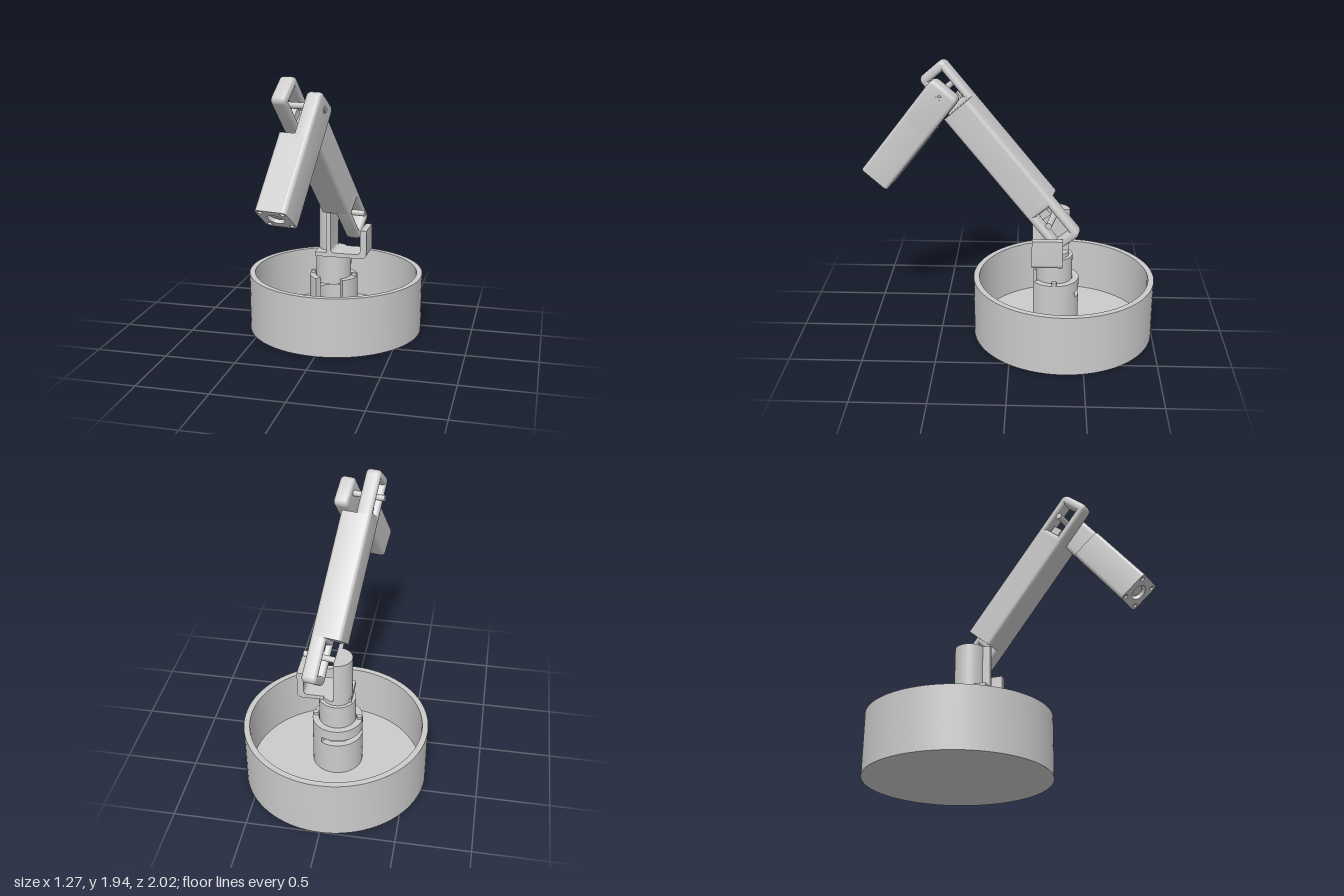
import * as THREE from 'three';
import { toCreasedNormals } from 'three/addons/utils/BufferGeometryUtils.js';

const material = new THREE.MeshStandardMaterial({ color: 0xcccccc });
const ROUND = 0.025;

function add(parent, name, geometry, x = 0, y = 0, z = 0) {
  const mesh = new THREE.Mesh(geometry, material);
  mesh.name = name;
  mesh.position.set(x, y, z);
  parent.add(mesh);
  return mesh;
}

function roundedRect(w, h, r, cx = 0, cy = 0) {
  const s = new THREE.Shape();
  const x = w / 2 - r, y = h / 2 - r;
  s.absarc(cx + x, cy + y, r, 0, Math.PI / 2);
  s.absarc(cx - x, cy + y, r, Math.PI / 2, Math.PI);
  s.absarc(cx - x, cy - y, r, Math.PI, Math.PI * 1.5);
  s.absarc(cx + x, cy - y, r, Math.PI * 1.5, Math.PI * 2);
  s.closePath();
  return s;
}

function circle(x, y, r) {
  return new THREE.Path().absarc(x, y, r, 0, Math.PI * 2, true);
}

// Extrudes a plan shape upward from y = 0 (shape y becomes -z)
function upright(shape, height) {
  const g = new THREE.ExtrudeGeometry(shape, { depth: height, bevelEnabled: false, curveSegments: 24 });
  return toCreasedNormals(g.rotateX(-Math.PI / 2), 0.5);
}

// Side plate with softened edges, from x0 to x1; the profile is (z, y)
function sidePlate(shape, x0, x1) {
  const g = new THREE.ExtrudeGeometry(shape, {
    depth: x1 - x0 - 2 * ROUND, bevelThickness: ROUND, bevelSize: ROUND,
    bevelOffset: -ROUND, bevelSegments: 4, curveSegments: 8,
  });
  g.rotateY(Math.PI / 2).translate(x0 + ROUND, 0, 0);
  return toCreasedNormals(g, 0.6);
}

// Cylinder lying along x, from x0 to x1
function pin(r, x0, x1, sides = 24) {
  return new THREE.CylinderGeometry(r, r, x1 - x0, sides).rotateZ(Math.PI / 2).translate((x0 + x1) / 2, 0, 0);
}

// Ring sector; angles in degrees from the front (+z) toward +x
function ringSector(rIn, rOut, from, to, height) {
  const a = THREE.MathUtils.degToRad(from - 90), b = THREE.MathUtils.degToRad(to - 90);
  const s = new THREE.Shape();
  s.absarc(0, 0, rOut, a, b, false);
  s.absarc(0, 0, rIn, b, a, true);
  s.closePath();
  return upright(s, height);
}

function createBase(root) {
  // Open round tray
  const profile = [[0, 0], [0.633, 0], [0.633, 0.425], [0.593, 0.425], [0.593, 0.045], [0, 0.045]]
    .map(([x, y]) => new THREE.Vector2(x, y));
  add(root, 'baseTray', toCreasedNormals(new THREE.LatheGeometry(profile, 96), 0.5), 0, 0, -0.367);

  // Split collar, open at the front, with a slot round the back
  const collar = new THREE.Group();
  collar.name = 'collar';
  collar.position.z = -0.3;
  root.add(collar);
  add(collar, 'collarLower', ringSector(0.13, 0.174, 34, 326, 0.255), 0, 0.04);
  add(collar, 'collarSlotSideA', ringSector(0.13, 0.174, 34, 150, 0.045), 0, 0.295);
  add(collar, 'collarSlotSideB', ringSector(0.13, 0.174, 275, 326, 0.045), 0, 0.295);
  add(collar, 'collarUpper', ringSector(0.13, 0.174, 34, 326, 0.08), 0, 0.34);
  for (const side of [-1, 1]) {
    add(collar, 'collarScrew', new THREE.CylinderGeometry(0.018, 0.018, 0.04, 20), side * 0.152, 0.42, 0);
  }
  add(collar, 'turntable', new THREE.CylinderGeometry(0.127, 0.127, 0.215, 48), 0, 0.4875, 0);
}

function createShoulder(root) {
  const shoulder = new THREE.Group();
  shoulder.name = 'shoulder';
  shoulder.position.set(0, 0.595, -0.3);
  root.add(shoulder);
  add(shoulder, 'shoulderDisc', new THREE.CylinderGeometry(0.103, 0.103, 0.03, 48), 0, 0.015, 0);

  // Upright post, a cylinder cut flat on the arm side
  const cut = Math.acos(0.012 / 0.103);
  const post = new THREE.Shape();
  post.absarc(0, 0, 0.103, cut, Math.PI * 2 - cut, false);
  post.closePath();
  add(shoulder, 'shoulderPost', upright(post, 0.335));

  // Bracket beside the post, with rounded lower corners
  const b = new THREE.Shape();
  b.moveTo(-0.103, 0);
  b.lineTo(0.235, 0);
  b.absarc(0.235, 0.035, 0.035, -Math.PI / 2, 0);
  b.lineTo(0.27, 0.205);
  b.lineTo(0.225, 0.205);
  b.lineTo(0.225, 0.055);
  b.absarc(0.2, 0.055, 0.025, 0, -Math.PI / 2, true);
  b.lineTo(0.037, 0.03);
  b.absarc(0.037, 0.055, 0.025, -Math.PI / 2, -Math.PI, true);
  b.lineTo(0.012, 0.335);
  b.lineTo(-0.018, 0.335);
  b.lineTo(-0.018, 0.03);
  b.lineTo(-0.103, 0.03);
  b.closePath();
  const g = new THREE.ExtrudeGeometry(b, { depth: 0.208, bevelEnabled: false });
  add(shoulder, 'shoulderBracket', toCreasedNormals(g, 0.5), 0, 0, -0.053);
}

// Half-width end of an arm; dir is +1 at the top, -1 at the bottom
function tongue(arm, name, dir, half, x0, x1, windowed) {
  const reach = 0.365;
  const shape = roundedRect(0.222, reach, 0.04, 0, dir * (half - reach / 2));
  if (windowed) {
    const a = dir * (half - 0.065), b = dir * (half - 0.28);
    shape.holes.push(new THREE.Path([
      [-0.058, a], [-0.058, b], [0.058, b], [0.058, a],
    ].map(([x, y]) => new THREE.Vector2(x, y))));
  }
  add(arm, name, sidePlate(shape, x0, x1));
}

function createArms(root) {
  // Both arms share one turned frame: x runs along the joint pins
  const turned = new THREE.Group();
  turned.name = 'arms';
  turned.rotation.y = THREE.MathUtils.degToRad(-11);
  root.add(turned);

  const lower = new THREE.Group();
  lower.name = 'lowerArm';
  lower.position.set(0.025, 1.318, 0.0685);
  lower.rotation.x = 0.716;
  turned.add(lower);
  add(lower, 'lowerArmBody', upright(roundedRect(0.212, 0.222, ROUND), 0.86), 0, -0.43, 0);
  tongue(lower, 'lowerArmBottomFrame', -1, 0.745, 0, 0.106, true);
  tongue(lower, 'lowerArmTopFrame', 1, 0.745, -0.106, 0, true);
  add(lower, 'shoulderPin', pin(0.021, -0.095, 0.158), 0, -0.555, 0);
  add(lower, 'elbowPin', pin(0.021, -0.144, 0.16), 0, 0.579, 0);
  for (const dir of [-1, 1]) {
    add(lower, 'pinSeat', new THREE.BoxGeometry(0.04, 0.06, 0.07), -dir * 0.053, dir * 0.485, 0);
  }

  const upper = new THREE.Group();
  upper.name = 'upperArm';
  upper.position.set(0.105, 1.468, 0.655);
  upper.rotation.x = -0.665;
  turned.add(upper);
  add(upper, 'upperArmBody', upright(roundedRect(0.21, 0.22, ROUND), 0.48), 0, -0.37, 0);
  tongue(upper, 'upperArmTongue', 1, 0.42, 0, 0.105, false);
  add(upper, 'elbowWasher', pin(0.027, 0.09, 0.108), 0, 0.343, 0);
  add(upper, 'elbowNut', pin(0.017, 0.1, 0.114, 6), 0, 0.343, 0);

  // End cap with a round opening and four corner holes
  const cap = roundedRect(0.21, 0.22, ROUND);
  cap.holes.push(circle(0, 0, 0.055));
  for (const x of [-0.075, 0.075]) {
    for (const y of [-0.08, 0.08]) {
      cap.holes.push(circle(x, y, 0.016));
      add(upper, 'capScrew', new THREE.CylinderGeometry(0.011, 0.011, 0.04, 16), x, -0.39, y);
    }
  }
  add(upper, 'endCap', upright(cap, 0.05), 0, -0.42, 0);
  add(upper, 'endPlug', new THREE.CylinderGeometry(0.042, 0.042, 0.03, 32), 0, -0.385, 0);
}

export function createModel() {
  const root = new THREE.Group();
  root.name = 'jointedArm';
  createBase(root);
  createShoulder(root);
  createArms(root);
  return root;
}
